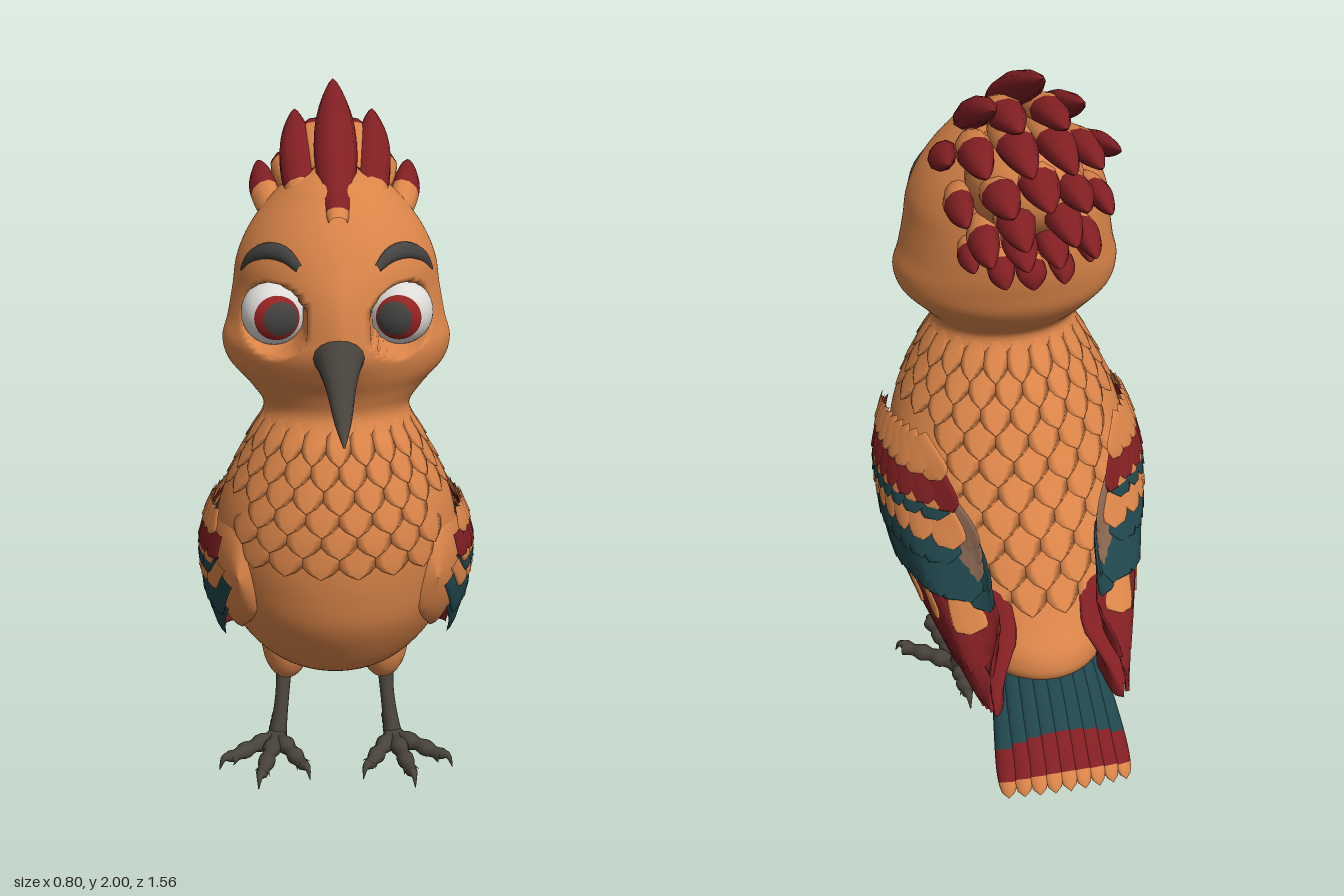
import * as THREE from 'three';
import { mergeGeometries } from 'three/addons/utils/BufferGeometryUtils.js';

const V = (x, y, z) => new THREE.Vector3(x, y, z);
const { lerp, clamp, smoothstep } = THREE.MathUtils;
const paint = (name, color) => Object.assign(new THREE.MeshStandardMaterial({ color }), { name });

// Smooth interpolation through rows of [key, value, value, ...]
const track = (rows) => (t) => {
  let i = 0;
  while (i < rows.length - 2 && t > rows[i + 1][0]) i++;
  const a = rows[i], b = rows[i + 1], h = b[0] - a[0], k = clamp((t - a[0]) / h, 0, 1);
  const slope = (j, c) => {
    const p = rows[Math.max(j - 1, 0)], q = rows[Math.min(j + 1, rows.length - 1)];
    return (q[c] - p[c]) / (q[0] - p[0]) * h;
  };
  return a.slice(1).map((v, n) => {
    const c = n + 1, d = b[c] - v, m0 = slope(i, c), m1 = slope(i + 1, c);
    return v + k * (m0 + k * (3 * d - 2 * m0 - m1 + k * (m0 + m1 - 2 * d)));
  });
};

// Tubular surface from f(u, angle); side = -1 mirrors it, band picks a material slot
function skin(nu, nv, f, side = 1, band = () => 0, slots = 1) {
  const pos = [], faces = Array.from({ length: slots }, () => []);
  for (let i = 0; i <= nu; i++) for (let j = 0; j < nv; j++) {
    const p = f(i / nu, j / nv * Math.PI * 2);
    pos.push(p.x * side, p.y, p.z);
  }
  for (let i = 0; i < nu; i++) for (let j = 0; j < nv; j++) {
    const k = (j + 1) % nv, a = i * nv + j, b = i * nv + k, c = b + nv, d = a + nv;
    faces[band((i + 0.5) / nu, (j + 0.5) / nv * Math.PI * 2)].push(...(side > 0 ? [a, b, c, a, c, d] : [a, c, b, a, d, c]));
  }
  const g = new THREE.BufferGeometry();
  g.setAttribute('position', new THREE.Float32BufferAttribute(pos, 3));
  g.setIndex(faces.flat());
  let start = 0;
  if (slots > 1) faces.forEach((s, n) => { g.addGroup(start, s.length, n); start += s.length; });
  g.computeVertexNormals();
  return g;
}

// Strand along a curve with its own width and thickness; hint is its upper side
function strand(pts, width, thick, hint, side, band, slots, nu = 14, nv = 10) {
  const curve = new THREE.CatmullRomCurve3(pts);
  return skin(nu, nv, (u, v) => {
    const d = curve.getTangent(u), w = hint.clone().cross(d).normalize(), n = d.clone().cross(w);
    return curve.getPoint(u).addScaledVector(w, Math.cos(v) * width(u)).addScaledVector(n, Math.sin(v) * thick(u));
  }, side, band, slots);
}
const leaf = (u) => Math.pow(Math.max(Math.sin(Math.PI * (0.1 + 0.9 * u)), 0), 0.75);
const blunt = (u) => (0.65 + 0.35 * u) * Math.pow(Math.max(1 - Math.pow(u, 7), 0), 0.5);

// Head and body sections: y, front z, back z, half width, front roundness
const section = track([
  [0.29, -0.27, -0.28, 0.002, 2], [0.31, -0.05, -0.46, 0.16, 2], [0.35, 0.08, -0.56, 0.22, 2],
  [0.42, 0.2, -0.57, 0.27, 2], [0.5, 0.27, -0.52, 0.31, 2], [0.6, 0.33, -0.46, 0.335, 2],
  [0.7, 0.355, -0.4, 0.345, 2], [0.8, 0.365, -0.33, 0.345, 2], [0.9, 0.36, -0.27, 0.325, 2],
  [1.0, 0.335, -0.21, 0.285, 2], [1.1, 0.295, -0.145, 0.235, 2], [1.18, 0.25, -0.105, 0.2, 2],
  [1.24, 0.265, -0.16, 0.24, 1.9], [1.3, 0.3, -0.205, 0.295, 1.7], [1.36, 0.33, -0.225, 0.31, 1.55],
  [1.42, 0.33, -0.24, 0.295, 1.5], [1.5, 0.315, -0.245, 0.28, 1.55], [1.58, 0.283, -0.235, 0.267, 1.75],
  [1.66, 0.24, -0.22, 0.23, 1.9], [1.74, 0.18, -0.19, 0.165, 2], [1.79, 0.12, -0.14, 0.1, 2],
  [1.82, -0.01, -0.04, 0.01, 2]]);
const EYE = V(0.168, 1.45, 0.145);
function bodyPoint(y, a) {
  const [zf, zb, hw, p] = section(y), s = Math.sin(a), c = Math.cos(a), e = c > 0 ? 2 / p : 1;
  const power = (t) => Math.sign(t) * Math.pow(Math.abs(t), e);
  return V(hw * power(s), y, (zf + zb) / 2 + (zf - zb) / 2 * power(c));
}
function frontZ(x, y) {
  const [zf, zb, hw, p] = section(y);
  return (zf + zb) / 2 + (zf - zb) / 2 * Math.pow(Math.max(1 - Math.pow(x / hw, p), 0), 1 / p);
}
// Folded wing: lower and upper edge along z, and its outer surface curling in over the back
const wingEdge = track([[-0.65, 0.33, 0.331], [-0.62, 0.315, 0.38], [-0.55, 0.32, 0.46], [-0.4, 0.34, 0.64], [-0.2, 0.39, 0.85],
  [0, 0.46, 0.93], [0.12, 0.52, 0.92], [0.24, 0.62, 0.85], [0.27, 0.73, 0.731]]);
function wingX(y, z) {
  const x = z > 0 ? 0.37 - 1.3 * z * z : z > -0.2 ? 0.37 - 0.9 * z * z : 0.334 + 0.33 * (z + 0.2);
  const [lo, hi] = wingEdge(z);
  const curl = 0.42 * smoothstep(y, lerp(lo, hi, 0.55), hi + 0.02) * smoothstep(-z, 0.1, 0.42) * smoothstep(z, -0.66, -0.5);
  return x * (1 - 2.8 * (y - 0.68 - 0.35 * z) ** 2) * (1 - curl);
}

export function createModel() {
  const model = new THREE.Group();
  model.name = 'crestedBird';
  const orange = paint('orange plumage', 0xdb8549), red = paint('red plumage', 0x821f23);
  const teal = paint('teal plumage', 0x20464c), brown = paint('brown plumage', 0x8a6852);
  const horn = paint('beak horn', 0x47423c), legTone = paint('leg grey', 0x48433a);
  const slate = paint('brow and pupil slate', 0x444341), white = paint('eye white', 0xdddcd8);
  const iris = paint('iris red', 0x962422);
  const add = (name, geometry, material) => {
    const m = new THREE.Mesh(geometry, material);
    m.name = name;
    model.add(m);
    return m;
  };

  // Head and body in one skin, with hollowed eye sockets
  add('headAndBody', skin(150, 112, (u, v) => {
    const p = bodyPoint(lerp(0.29, 1.82, u), v);
    const d = Math.hypot((Math.abs(p.x) - EYE.x) / 0.083, (p.y - EYE.y) / 0.088);
    if (p.z > 0.13) p.z = lerp(0.13, p.z, smoothstep(d, 0.9, 1.06));
    return p;
  }), orange);
  const crown = add('crestBase', new THREE.SphereGeometry(1, 24, 16), orange);
  crown.scale.set(0.15, 0.14, 0.18);
  crown.position.set(0, 1.68, -0.18);

  // Overlapping small feathers on chest, neck and back
  const scales = [];
  for (let r = 0; r < 10; r++) for (let j = 0; j < 22; j++) {
    const y = 1.17 - r * 0.06, a = (j + (r % 2) / 2) / 22 * Math.PI * 2, c = Math.cos(a);
    if (y < 1 && Math.abs(c) < 0.6 || c > 0 && y < 0.85) continue;
    scales.push(skin(6, 6, (u, v) => {
      const p = bodyPoint(y - u * 0.1, a + 0.17 * leaf(u) * Math.cos(v));
      return p.addScaledVector(V(Math.sin(a), 0, c), 0.008 * u - 0.003 + 0.003 * Math.sin(v));
    }));
  }
  add('bodyFeathers', mergeGeometries(scales), orange);

  // Beak, slightly curved downward
  const beak = track([[0, 0.075, 0.055], [0.2, 0.062, 0.05], [0.5, 0.038, 0.03], [0.8, 0.02, 0.016], [1, 0.002, 0.002]]);
  add('beak', strand([V(0, 1.37, 0.26), V(0, 1.368, 0.36), V(0, 1.35, 0.5), V(0, 1.322, 0.65), V(0, 1.29, 0.78)],
    (u) => beak(u)[0], (u) => beak(u)[1], V(0, 1, 0), 1, undefined, 1, 24, 16), horn);

  // Crest feathers: base, tip, half width, start of the red part
  const crest = [
    [0, 1.7, 0.22, 0, 2.0, -0.36, 0.058, 0.05], [0.085, 1.69, 0.17, 0.11, 1.92, -0.33, 0.05, 0.25],
    [0.15, 1.65, 0.08, 0.215, 1.78, -0.3, 0.042, 0.45], [0.045, 1.8, 0.02, 0.055, 1.88, -0.38, 0.05, 0.55],
    [0.04, 1.79, -0.04, 0.05, 1.81, -0.49, 0.052, 0.55], [0.11, 1.74, -0.02, 0.14, 1.78, -0.4, 0.048, 0.5],
    [0, 1.73, -0.13, 0, 1.71, -0.47, 0.054, 0.55], [0.08, 1.68, -0.14, 0.09, 1.7, -0.46, 0.05, 0.5],
    [0.05, 1.64, -0.15, 0.06, 1.62, -0.48, 0.05, 0.5], [0.15, 1.63, -0.06, 0.18, 1.64, -0.36, 0.042, 0.5],
    [0.11, 1.58, -0.14, 0.13, 1.55, -0.41, 0.044, 0.45], [0.035, 1.58, -0.18, 0.04, 1.53, -0.41, 0.044, 0.4],
    [0.13, 1.53, -0.13, 0.15, 1.48, -0.29, 0.036, 0.45], [0, 1.5, -0.2, 0, 1.42, -0.3, 0.04, 0.35],
    [0.07, 1.51, -0.18, 0.075, 1.44, -0.32, 0.038, 0.4]];
  for (const [bx, by, bz, tx, ty, tz, w, cut] of crest) {
    const base = V(bx, by, bz), tip = V(tx, ty, tz), mid = base.clone().lerp(tip, 0.5);
    const out = mid.clone().sub(V(0, 1.5, 0)).normalize();
    mid.addScaledVector(out, 0.022);
    for (const s of bx ? [1, -1] : [1]) add('crestFeather', strand([base, mid, tip],
      (u) => w * leaf(u), (u) => 0.8 * w * leaf(u), out, s, (u) => (u > cut ? 1 : 0), 2, 20), [orange, red]);
  }

  // Tail fan: banded above, red below
  for (let i = -4; i <= 4; i++) {
    const k = i / 4, drop = 0.05 * k * k;
    const g = strand([V(k * 0.13, 0.43 - drop, -0.45), V(k * 0.15, 0.3 - drop, -0.62), V(k * 0.165, 0.145 - drop * 0.4, -0.78 + drop * 0.6)],
      (u) => 0.037 * blunt(u), (u) => 0.02 * blunt(u), V(k * 0.5, 0.7, -0.6), 1,
      (u, v) => (v > Math.PI ? 1 : u > 0.86 ? 2 : u > 0.62 ? 1 : 0), 3, 25);
    add('tailFeather', g, [teal, red, orange]);
  }

  // Wing rows: start line, end line (z, y pairs), count, half width, lift, colour
  const rows = [
    ['flightFeathers', 0.08, 0.53, -0.3, 0.68, -0.42, 0.34, -0.6, 0.43, 8, 0.042, 0, red],
    ['longFlightFeathers', -0.2, 0.45, -0.35, 0.55, -0.6, 0.33, -0.65, 0.35, 3, 0.03, 0.002, red],
    ['flightFeatherSpots', -0.2, 0.5, -0.4, 0.57, -0.27, 0.45, -0.49, 0.49, 3, 0.032, 0.006, orange],
    ['innerTealFeathers', -0.3, 0.72, -0.34, 0.7, -0.46, 0.6, -0.48, 0.55, 2, 0.04, 0.005, teal],
    ['tertials', -0.22, 0.8, -0.25, 0.74, -0.38, 0.68, -0.42, 0.61, 3, 0.045, 0.008, brown],
    ['mainTealRow', 0.19, 0.64, -0.22, 0.73, 0.03, 0.48, -0.44, 0.56, 10, 0.052, 0.009, teal],
    ['upperTealRow', 0.235, 0.72, -0.2, 0.76, 0.13, 0.58, -0.35, 0.63, 10, 0.045, 0.012, teal],
    ['orangeStripe', 0.22, 0.76, -0.22, 0.8, 0.15, 0.67, -0.34, 0.67, 9, 0.038, 0.015, orange],
    ['thinTealRow', 0.2, 0.79, -0.2, 0.83, 0.13, 0.71, -0.28, 0.73, 9, 0.036, 0.018, teal],
    ['thinOrangeStripe', 0.2, 0.82, -0.2, 0.85, 0.15, 0.745, -0.27, 0.76, 9, 0.036, 0.02, orange],
    ['redRow', 0.21, 0.85, -0.2, 0.87, 0.185, 0.765, -0.3, 0.765, 10, 0.038, 0.022, red],
    ['shoulderCoverts', 0.16, 0.9, -0.14, 0.92, 0.18, 0.83, -0.25, 0.84, 10, 0.042, 0.023, orange]];
  for (const s of [1, -1]) {
    add('wing', skin(40, 24, (u, v) => {
      const z = lerp(0.27, -0.65, u * u * (3 - 2 * u)), [lo, hi] = wingEdge(z);
      const y = (lo + hi) / 2 + (hi - lo) / 2 * Math.cos(v), t = 0.045 * Math.min(1, (hi - lo) * 6);
      return V(wingX(y, z) - t + t * Math.sin(v), y, z);
    }, s, (u) => (u > 0.62 ? 1 : 0), 2), [orange, red]);
    for (const [name, az, ay, bz, by, cz, cy, ez, ey, n, w, lift, mat] of rows) {
      const parts = [];
      for (let i = 0; i < n; i++) {
        const k = i / (n - 1), z0 = lerp(az, bz, k), y0 = lerp(ay, by, k);
        const dz = lerp(cz, ez, k) - z0, dy = lerp(cy, ey, k) - y0, len = Math.hypot(dz, dy);
        parts.push(skin(10, 8, (u, v) => {
          const o = Math.cos(v) * w * blunt(u) / len;
          const z = z0 + dz * u + dy * o, y = y0 + dy * u - dz * o;
          return V(wingX(y, z) + lift + 0.006 * u + 0.006 * Math.sin(v), y, z);
        }, s));
      }
      add(name, mergeGeometries(parts), mat);
    }

    // Eye: ball with iris and pupil caps, the pupil turned inward
    for (const [name, r, cap, turn, mat] of [['eyeball', 0.087, Math.PI, 0, white], ['iris', 0.0885, 0.74, -0.14, iris], ['pupil', 0.09, 0.53, -0.26, slate]]) {
      const g = new THREE.SphereGeometry(r, 32, 20, 0, Math.PI * 2, 0, cap).rotateX(Math.PI / 2).rotateY(turn * s);
      add(name, g, mat).position.set(EYE.x * s, EYE.y, EYE.z);
    }
    const browPts = [[0.1, 1.59], [0.135, 1.618], [0.18, 1.622], [0.225, 1.598], [0.254, 1.555]]
      .map(([x, y]) => V(x, y, frontZ(x, y) + 0.002));
    add('eyebrow', strand(browPts, (u) => 0.022 * leaf(u * 0.94 + 0.03), (u) => 0.012 * leaf(u * 0.94 + 0.03), V(0.7, 0.4, 0.8), s), slate);

    // Thigh, shank and clawed toes
    const thigh = add('thigh', new THREE.SphereGeometry(1, 20, 14), orange);
    thigh.scale.set(0.078, 0.14, 0.1);
    thigh.position.set(0.148 * s, 0.36, -0.14);
    const shank = (u) => 0.03 - 0.034 * u * (1 - u);
    add('shank', strand([V(0.155, 0.28, -0.165), V(0.163, 0.16, -0.125), V(0.18, 0.03, -0.09)], shank, shank, V(0, 0, 1), s), legTone);
    for (const [x, z] of [[0.095, 0.085], [0.225, 0.13], [0.325, 0.03], [0.175, -0.225]]) {
      const a = V(0.18, 0.035, -0.09), tip = V(x, 0.027, z), dir = tip.clone().sub(a).normalize();
      const knuckle = (u) => 0.027 - 0.006 * u + 0.004 * Math.cos(u * Math.PI * 6);
      const claw = (u) => 0.018 * (1 - u) + 0.001;
      add('toe', strand([a, a.clone().lerp(tip, 0.5).setY(0.034), tip], knuckle, knuckle, V(0, 1, 0), s), legTone);
      add('claw', strand([tip.clone().addScaledVector(dir, -0.015).setY(0.03), tip.clone().addScaledVector(dir, 0.018).setY(0.036),
        tip.clone().addScaledVector(dir, 0.036).setY(0.003)], claw, claw, V(0, 1, 0).cross(dir), s, undefined, 1, 10, 8), legTone);
    }
  }
  return model;
}
